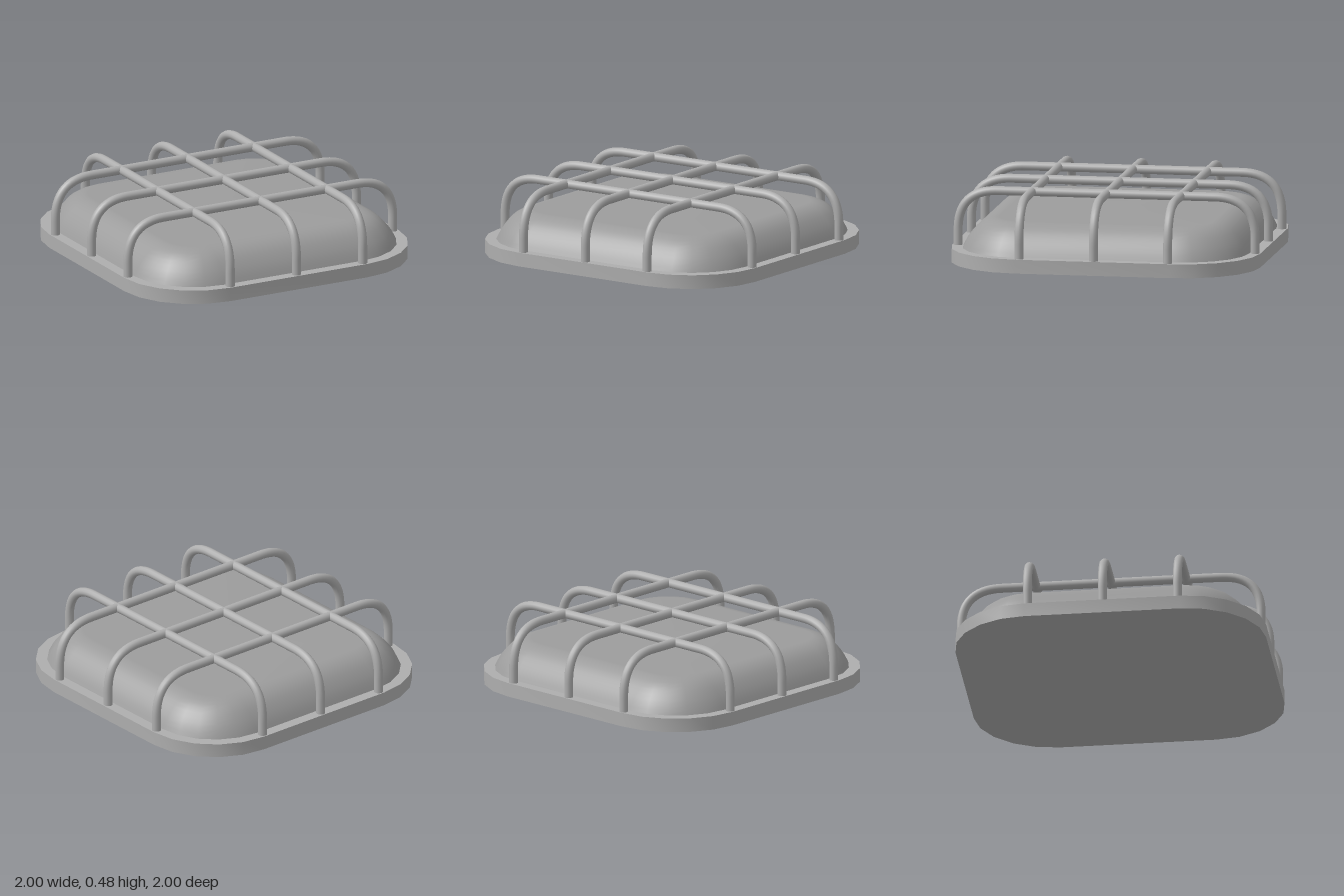
import * as THREE from 'three';
import { toCreasedNormals } from 'three/addons/utils/BufferGeometryUtils.js';

const frameMaterial = new THREE.MeshStandardMaterial({ color: 0xaeaeae });
const lensMaterial = new THREE.MeshStandardMaterial({ color: 0x9c9c9c });
const CORNER = 0.5;      // corner centres of the rounded square
const STEPS = 5;         // segments per corner

// Rounded-square outline, counter-clockwise, reaching out to `half`
function outline(half) {
  const r = half - CORNER;
  const points = [];
  for (let q = 0; q < 4; q++) {
    const sx = q === 0 || q === 3 ? 1 : -1;
    const sy = q < 2 ? 1 : -1;
    for (let i = 0; i <= STEPS; i++) {
      const a = (q + i / STEPS) * Math.PI / 2;
      points.push(new THREE.Vector2(sx * CORNER + r * Math.cos(a), sy * CORNER + r * Math.sin(a)));
    }
  }
  return points;
}

// Plate with a smooth rim and sharp top and bottom edges
function plateGeometry() {
  const geometry = new THREE.ExtrudeGeometry(new THREE.Shape(outline(1)), { depth: 0.09, bevelEnabled: false });
  geometry.rotateX(-Math.PI / 2);
  return toCreasedNormals(geometry, 0.6);
}

// Smooth lens lofted from shrinking outlines and closed by a flat top
function lensGeometry() {
  const profile = new THREE.CatmullRomCurve3([
    [0.93, 0.085], [0.90, 0.145], [0.86, 0.2], [0.81, 0.248], [0.75, 0.278], [0.69, 0.288],
  ].map(([x, y]) => new THREE.Vector3(x, y, 0))).getPoints(10);
  const positions = [];
  const index = [];
  const n = 4 * (STEPS + 1);
  for (const p of profile) {
    for (const v of outline(p.x)) positions.push(v.x, p.y, -v.y);
  }
  for (let k = 0; k < profile.length - 1; k++) {
    for (let i = 0; i < n; i++) {
      const a = k * n + i, b = k * n + (i + 1) % n;
      index.push(a, b, b + n, a, b + n, a + n);
    }
  }
  const last = (profile.length - 1) * n;
  positions.push(0, 0.288, 0);
  for (let i = 0; i < n; i++) index.push(last + i, last + (i + 1) % n, last + n);
  const geometry = new THREE.BufferGeometry();
  geometry.setAttribute('position', new THREE.Float32BufferAttribute(positions, 3));
  geometry.setIndex(index);
  geometry.computeVertexNormals();
  return geometry;
}

// Guard bar: two legs, two rounded bends and a straight span
function barGeometry() {
  const w = 0.965, h = 0.447, r = 0.26;
  const V = (x, y) => new THREE.Vector3(x, y, 0);
  const path = new THREE.CurvePath();
  path.add(new THREE.LineCurve3(V(-w, 0.07), V(-w, h - r)));
  path.add(new THREE.QuadraticBezierCurve3(V(-w, h - r), V(-w, h), V(r - w, h)));
  path.add(new THREE.LineCurve3(V(r - w, h), V(w - r, h)));
  path.add(new THREE.QuadraticBezierCurve3(V(w - r, h), V(w, h), V(w, h - r)));
  path.add(new THREE.LineCurve3(V(w, h - r), V(w, 0.07)));
  return new THREE.TubeGeometry(path, 90, 0.029, 12, false);
}

export function createModel() {
  const model = new THREE.Group();
  const add = (name, geometry, material, parent = model) => {
    const mesh = new THREE.Mesh(geometry, material);
    mesh.name = name;
    parent.add(mesh);
    return mesh;
  };

  add('basePlate', plateGeometry(), frameMaterial);
  add('lens', lensGeometry(), lensMaterial);

  // Wire guard: three bars each way
  const guard = new THREE.Group();
  guard.name = 'wireGuard';
  model.add(guard);
  const bar = barGeometry();
  for (const offset of [-0.483, 0, 0.483]) {
    add('crossBar', bar, frameMaterial, guard).position.z = offset;
    const lengthBar = add('lengthBar', bar, frameMaterial, guard);
    lengthBar.rotation.y = Math.PI / 2;
    lengthBar.position.x = offset;
  }
  return model;
}
